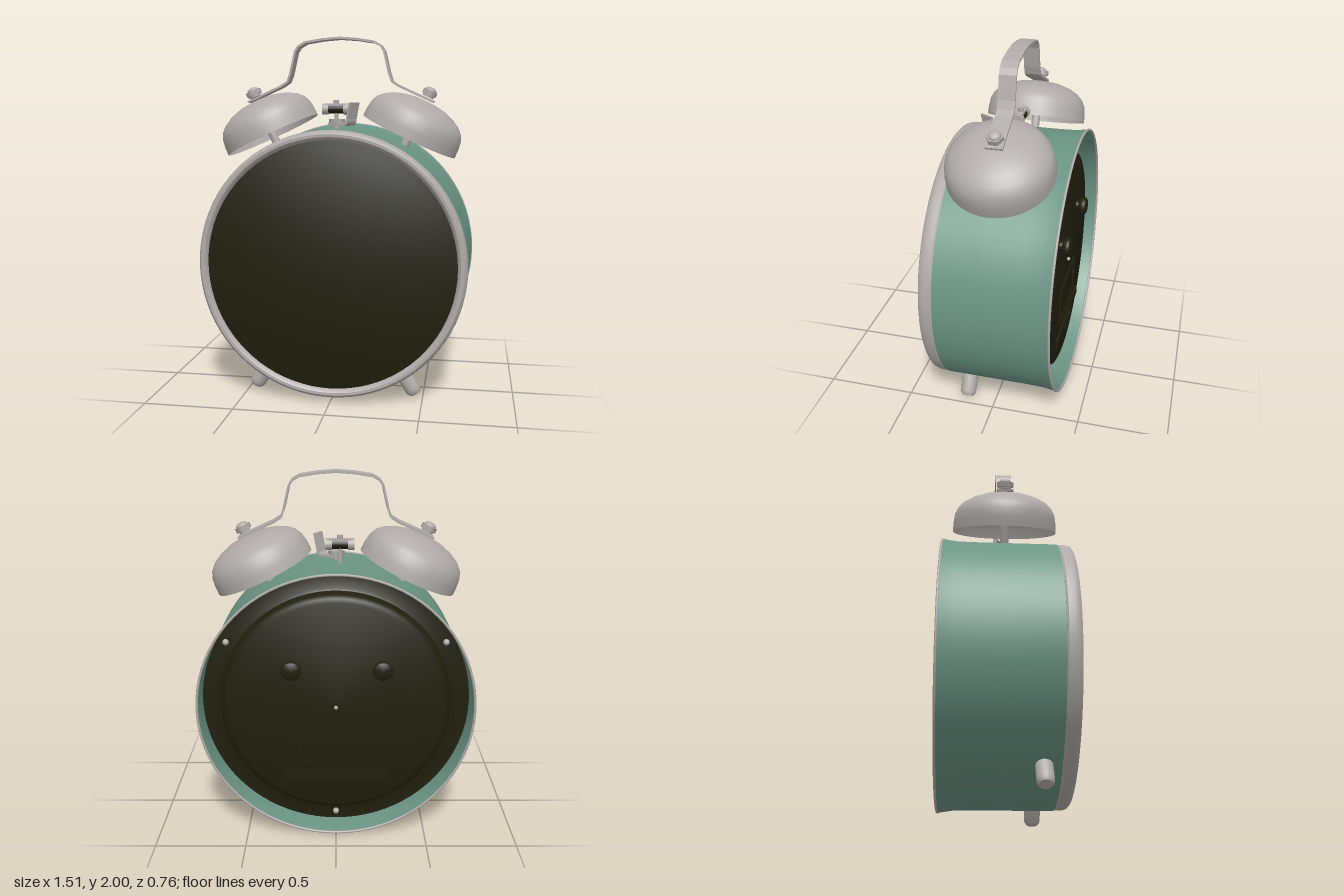
import * as THREE from 'three';
import { toCreasedNormals } from 'three/addons/utils/BufferGeometryUtils.js';

const CY = 0.76; // height of the case axis
const BELL_Z = -0.035;
const TILT = 0.437; // lean of the bells

const material = (name, color, side = THREE.FrontSide) => {
  const m = new THREE.MeshStandardMaterial({ color, side });
  m.name = name;
  return m;
};

export function createModel() {
  const green = material('green enamel', 0x6b9585, THREE.DoubleSide);
  const silver = material('silver metal', 0xb0aba8, THREE.DoubleSide);
  const dark = material('dark olive', 0x201f0e);
  const model = new THREE.Group();
  model.name = 'alarmClock';

  const add = (name, geometry, mat, parent = model, x = 0, y = 0, z = 0) => {
    const mesh = new THREE.Mesh(geometry, mat);
    mesh.name = name;
    mesh.position.set(x, y, z);
    parent.add(mesh);
    return mesh;
  };
  // Surface of revolution from [radius, height] pairs
  const lathe = (pts, segments = 64) => toCreasedNormals(
    new THREE.LatheGeometry(pts.map(p => new THREE.Vector2(...p)), segments), 0.6);
  // The same, turned so that its axis runs along z
  const latheZ = (pts, segments = 64) => lathe(pts, segments).rotateX(Math.PI / 2);
  const cyl = (r1, r2, h, n = 20) => new THREE.CylinderGeometry(r1, r2, h, n);

  // Case wall, flared at the open back
  add('caseWall', latheZ([[0.754, -0.37], [0.748, -0.34], [0.741, -0.29], [0.739, -0.2],
    [0.738, 0], [0.737, 0.25], [0.70, 0.255]], 80), green, model, 0, CY);
  add('backEdge', new THREE.TorusGeometry(0.75, 0.007, 8, 80), silver, model, 0, CY, -0.37);

  // Front bezel and domed glass
  add('bezel', latheZ([[0.70, 0.252], [0.728, 0.252], [0.735, 0.262], [0.735, 0.295], [0.728, 0.318],
    [0.715, 0.329], [0.70, 0.328], [0.688, 0.318], [0.68, 0.30], [0.68, 0.27]], 80), silver, model, 0, CY);
  const dome = [];
  for (let i = 0; i <= 10; i++) {
    const r = 0.683 * (1 - i / 10);
    dome.push([r, 0.305 + 0.073 * (1 - (r / 0.683) ** 2)]);
  }
  add('glass', latheZ(dome, 80), dark, model, 0, CY);

  // Recessed back plate with a raised middle
  add('backPlate', latheZ([[0, -0.32], [0.59, -0.32], [0.61, -0.312], [0.625, -0.29],
    [0.635, -0.24], [0.65, -0.23], [0.738, -0.23]], 80), dark, model, 0, CY);
  for (const a of [-90, 30, 150]) {
    const t = a * Math.PI / 180;
    add('plateScrew', new THREE.SphereGeometry(0.018, 12, 8), silver, model,
      0.69 * Math.cos(t), CY + 0.69 * Math.sin(t), -0.235);
  }
  add('centrePin', new THREE.SphereGeometry(0.011, 10, 8), silver, model, 0, CY, -0.327);
  for (const x of [-0.25, 0.24]) {
    add('settingKnob', latheZ([[0, -0.385], [0.035, -0.383], [0.05, -0.374], [0.055, -0.36],
      [0.05, -0.345], [0.03, -0.335], [0.03, -0.315]], 24), dark, model, x, 0.985);
  }

  // Battery door: raised frame, rail and latch
  const frame = (w, h, t) => {
    const s = new THREE.Shape([[-w, -h], [w, -h], [w, h], [-w, h]].map(p => new THREE.Vector2(...p)));
    s.holes.push(new THREE.Path([[t - w, t - h], [t - w, h - t], [w - t, h - t], [w - t, t - h]]
      .map(p => new THREE.Vector2(...p))));
    return new THREE.ExtrudeGeometry(s, { depth: 0.012, bevelEnabled: false });
  };
  add('doorFrame', frame(0.205, 0.11, 0.012), dark, model, 0, 0.545, -0.33);
  add('doorRail', new THREE.BoxGeometry(0.6, 0.045, 0.02), dark, model, 0, 0.36, -0.325);
  add('doorLatch', new THREE.BoxGeometry(0.15, 0.05, 0.036), dark, model, 0, 0.345, -0.325);

  // Bells and feet, one of each per side
  for (const s of [1, -1]) {
    const bell = new THREE.Group();
    bell.name = s > 0 ? 'leftBell' : 'rightBell';
    bell.position.set(0.391 * s, 1.452, BELL_Z);
    bell.rotation.z = -TILT * s;
    model.add(bell);
    add('bellShell', lathe([[0.283, 0], [0.281, 0.05], [0.274, 0.095], [0.258, 0.128], [0.228, 0.158],
      [0.18, 0.185], [0.12, 0.205], [0.06, 0.214], [0, 0.216]], 48), silver, bell);
    add('bellPost', cyl(0.024, 0.024, 0.3, 16), silver, bell, 0, 0.06);
    add('bellWasher', cyl(0.032, 0.032, 0.02), silver, bell, 0, 0.25);
    add('bellNut', cyl(0.046, 0.046, 0.026, 6), silver, bell, 0, 0.264);
    add('bellNutCap', new THREE.SphereGeometry(0.034, 16, 6, 0, Math.PI * 2, 0, Math.PI / 2)
      .scale(1, 0.6, 1), silver, bell, 0, 0.277);

    const foot = new THREE.Group();
    foot.name = s > 0 ? 'leftFoot' : 'rightFoot';
    foot.position.set(0, CY, 0.16);
    foot.rotation.z = 0.56 * s;
    model.add(foot);
    add('footPeg', lathe([[0, -0.865], [0.032, -0.865], [0.043, -0.85], [0.045, -0.835],
      [0.045, -0.71]], 20), silver, foot);
  }

  // Strap handle bent over both bells
  const half = [[0.53, 1.646], [0.335, 1.735], [0.30, 1.758], [0.285, 1.80], [0.257, 1.92],
    [0.238, 1.952], [0.195, 1.977], [0.10, 1.992]];
  const path = [...half, [0, 2], ...half.map(([x, y]) => [-x, y]).reverse()]
    .map(p => new THREE.Vector2(...p));
  const inner = path.map((p, i) => {
    const d = path[Math.min(i + 1, path.length - 1)].clone().sub(path[Math.max(i - 1, 0)]).normalize();
    return new THREE.Vector2(p.x - d.y * 0.012, p.y + d.x * 0.012);
  });
  add('handle', new THREE.ExtrudeGeometry(new THREE.Shape([...path, ...inner.reverse()]),
    { depth: 0.09, bevelEnabled: false }), silver, model, 0, 0, BELL_Z - 0.045);

  // Hammer on its stem between the bells
  const hammer = new THREE.Group();
  hammer.name = 'hammer';
  hammer.position.set(-0.022, 1.602, BELL_Z);
  model.add(hammer);
  add('hammerStem', cyl(0.012, 0.012, 0.16, 12), silver, hammer, 0, -0.06);
  add('hammerCap', cyl(0.016, 0.016, 0.025, 12), silver, hammer, 0, 0.038);
  add('hammerCore', cyl(0.026, 0.026, 0.12).rotateZ(Math.PI / 2), dark, hammer);
  for (const s of [1, -1]) {
    add('hammerHead', cyl(0.032, 0.032, 0.035).rotateZ(Math.PI / 2), silver, hammer, 0.061 * s);
  }
  add('hammerTop', new THREE.BoxGeometry(0.12, 0.022, 0.04), silver, hammer, 0, 0.019);

  // Stop lever: hex nut with a turned-up thumb plate
  const lever = new THREE.Group();
  lever.name = 'stopLever';
  lever.position.set(-0.003, 1.5, 0.06);
  lever.rotation.y = -0.52;
  model.add(lever);
  add('leverPost', cyl(0.02, 0.02, 0.06, 12), silver, lever);
  add('leverNut', cyl(0.044, 0.044, 0.022, 6), silver, lever, 0, 0.037);
  const plate = new THREE.Shape();
  plate.moveTo(-0.03, 0.012);
  plate.lineTo(0.08, 0.012);
  plate.quadraticCurveTo(0.108, 0.014, 0.108, 0.05);
  plate.lineTo(0.128, 0.138);
  plate.lineTo(0.116, 0.14);
  plate.lineTo(0.095, 0.05);
  plate.quadraticCurveTo(0.095, 0.026, 0.075, 0.026);
  plate.lineTo(-0.03, 0.026);
  add('leverPlate', new THREE.ExtrudeGeometry(plate, { depth: 0.08, bevelEnabled: false, curveSegments: 6 }),
    silver, lever, 0, 0, -0.04);

  return model;
}
